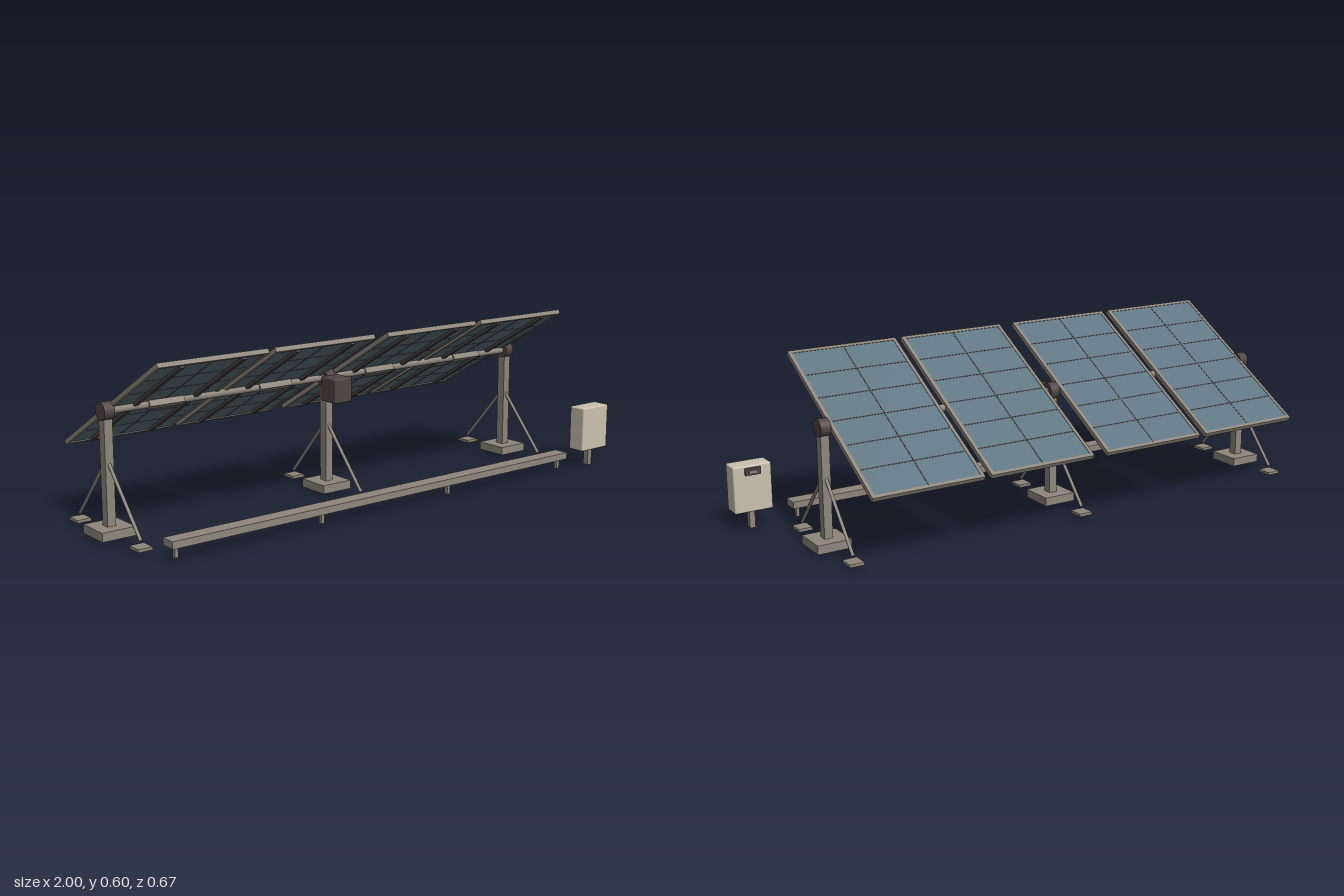
import * as THREE from 'three';
import { RoundedBoxGeometry } from 'three/addons/geometries/RoundedBoxGeometry.js';

const mat = (name, color) => {
  const m = new THREE.MeshStandardMaterial({ color });
  m.name = name;
  return m;
};

export function createModel() {
  const steel = mat('galvanised steel', 0x8f877d);
  const dark = mat('dark metal', 0x504547);
  const glass = mat('cell blue', 0x5f7682);
  const cream = mat('cabinet cream', 0xcbc2af);

  const root = new THREE.Group();
  root.name = 'solarTracker';
  const PIVOT_Y = 0.41, PIVOT_Z = -0.028;

  const add = (parent, name, geometry, material, x, y, z) => {
    const mesh = new THREE.Mesh(geometry, material);
    mesh.name = name;
    mesh.position.set(x, y, z);
    parent.add(mesh);
    return mesh;
  };
  const box = (parent, name, material, w, h, d, x, y, z) =>
    add(parent, name, new THREE.BoxGeometry(w, h, d), material, x, y, z);
  const group = (name, parent) => {
    const g = new THREE.Group();
    g.name = name;
    parent.add(g);
    return g;
  };
  // Round bar between two points
  const bar = (parent, name, material, a, b, r, sides) => {
    const dir = b.clone().sub(a);
    const mesh = add(parent, name, new THREE.CylinderGeometry(r, r, dir.length(), sides), material, 0, 0, 0);
    mesh.position.copy(a).add(b).multiplyScalar(0.5);
    mesh.quaternion.setFromUnitVectors(new THREE.Vector3(0, 1, 0), dir.normalize());
  };
  const V = (x, y, z) => new THREE.Vector3(x, y, z);

  // Three support posts with footing, braces and bearing
  for (const x of [-0.94, -0.07, 0.805]) {
    const post = group('supportPost', root);
    post.position.set(x, 0, PIVOT_Z);
    box(post, 'footing', steel, 0.12, 0.03, 0.123, 0, 0.025, 0);
    box(post, 'column', steel, 0.03, 0.37, 0.033, 0, 0.225, 0);
    for (const s of [-1, 1]) {
      bar(post, 'brace', steel, V(0, 0.25, s * 0.005), V(0, 0.036, s * 0.193), 0.006, 8);
      box(post, 'bracePlate', steel, 0.05, 0.01, 0.054, 0, 0.015, s * 0.193);
    }
    bar(post, 'bearing', dark, V(-0.018, PIVOT_Y, 0), V(0.018, PIVOT_Y, 0), 0.03, 24);
  }

  // Drive motor on the middle post
  add(root, 'driveMotor', new RoundedBoxGeometry(0.074, 0.087, 0.08, 2, 0.006), dark, -0.07, 0.3765, 0.03);

  // Torque tube through the bearings
  bar(root, 'torqueTube', steel, V(-0.94, PIVOT_Y, PIVOT_Z), V(0.805, PIVOT_Y, PIVOT_Z), 0.0125, 16);

  // Tilted panel array
  const array = group('panelArray', root);
  array.position.set(0, PIVOT_Y, PIVOT_Z);
  array.rotation.x = -Math.PI / 6;
  const W = 0.402, L = 0.692, F = 0.012;
  for (const x of [-0.725, -0.297, 0.161, 0.587]) {
    const panel = group('solarPanel', array);
    panel.position.set(x, 0.012, 0.002);
    for (const s of [-1, 1]) {
      box(panel, 'frameSide', steel, F, 0.016, L, s * (W - F) / 2, 0, 0);
      box(panel, 'frameEnd', steel, W - 2 * F, 0.016, F, 0, 0, s * (L - F) / 2);
      box(panel, 'mountingRail', dark, 0.016, 0.012, 0.66, s * 0.112, -0.0085, 0.006);
    }
    box(panel, 'cells', glass, W - 2 * F, 0.011, L - 2 * F, 0, 0.001, 0);
    // Grid lines standing slightly proud on both faces
    box(panel, 'gridLine', dark, 0.004, 0.0125, L - 2 * F, 0, 0.001, 0);
    for (let i = -2; i <= 2; i++) {
      box(panel, 'gridLine', dark, W - 2 * F, 0.0125, 0.004, 0, 0.001, i * (L - 2 * F) / 6);
    }
    // Clamp joining panel to torque tube
    box(panel, 'tubeClamp', steel, 0.13, 0.022, 0.03, 0, -0.0145, 0);
  }

  // Cable tray on short legs
  const tray = group('cableTray', root);
  box(tray, 'trayBeam', steel, 1.715, 0.024, 0.056, -0.068, 0.059, 0.298);
  for (const x of [-0.9, -0.345, 0.21, 0.765]) {
    box(tray, 'trayLeg', steel, 0.012, 0.038, 0.014, x, 0.029, 0.298);
  }

  // Control cabinet on a stub post, latch facing the array
  const cabinet = group('controlCabinet', root);
  cabinet.position.set(0.93, 0, 0.304);
  box(cabinet, 'cabinetPost', steel, 0.02, 0.07, 0.022, 0, 0.035, 0);
  add(cabinet, 'cabinetBody', new RoundedBoxGeometry(0.136, 0.165, 0.068, 2, 0.006), cream, 0, 0.147, 0);
  box(cabinet, 'latchPlate', dark, 0.055, 0.025, 0.008, 0, 0.208, -0.037);
  box(cabinet, 'latchHandle', steel, 0.03, 0.012, 0.006, 0, 0.207, -0.043);

  return root;
}
